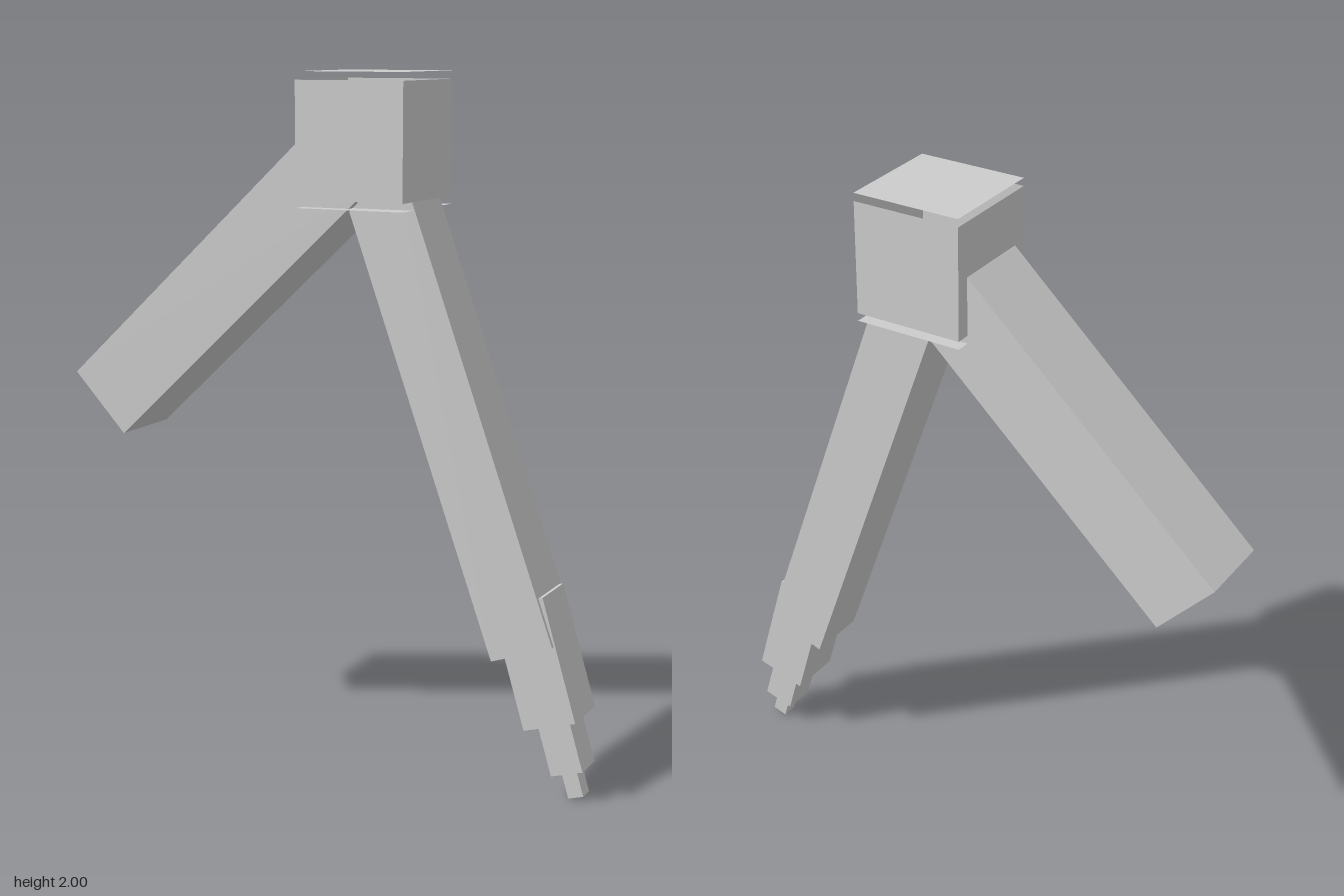
import * as THREE from 'three';

export function createModel() {
  const model = new THREE.Group();
  model.name = 'hingedArm';

  const grey = new THREE.MeshStandardMaterial({ color: 0xcccccc, side: THREE.DoubleSide });
  grey.name = 'plainGrey';

  const HUB = { x: 0.127, y: 1.815, size: 0.325, gap: 0.023 };

  // Square bar whose outer end sits at (x, y), leaning back by `lean` degrees from vertical
  function bar(name, x, y, lean, length, width, depth) {
    const geometry = new THREE.BoxGeometry(width, length, depth);
    geometry.translate(0, length / 2, 0);
    const mesh = new THREE.Mesh(geometry, grey);
    mesh.name = name;
    mesh.position.set(x, y, 0);
    mesh.rotation.z = THREE.MathUtils.degToRad(lean);
    model.add(mesh);
  }

  // Hub: four joined walls, open inside, with loose plates above and below
  const hub = new THREE.Group();
  hub.name = 'hub';
  hub.position.set(HUB.x, HUB.y, 0);
  const half = HUB.size / 2;
  for (let i = 0; i < 4; i++) {
    const geometry = new THREE.PlaneGeometry(HUB.size, HUB.size);
    geometry.translate(0, 0, half).rotateY((i * Math.PI) / 2);
    const wall = new THREE.Mesh(geometry, grey);
    wall.name = 'hubWall';
    hub.add(wall);
  }
  for (const side of [1, -1]) {
    const geometry = new THREE.PlaneGeometry(HUB.size, HUB.size);
    geometry.translate(0, 0, half + HUB.gap).rotateX((-side * Math.PI) / 2);
    const plate = new THREE.Mesh(geometry, grey);
    plate.name = side > 0 ? 'topPlate' : 'bottomPlate';
    hub.add(plate);
  }
  model.add(hub);

  // Thick arm and long leg, both ending at the hub centre
  bar('thickArm', -0.72, 1.021, -47, 1.159, 0.238, 0.24);
  bar('longLeg', 0.627, 0.422, 19.75, 1.479, 0.19, 0.186);

  // Stepped tip, each piece set into the one above
  bar('upperTip', 0.709, 0.222, 16.6, 0.36, 0.157, 0.163);
  bar('middleTip', 0.752, 0.081, 16.6, 0.2, 0.096, 0.1);
  bar('lowerTip', 0.771, 0.007, 16.6, 0.13, 0.046, 0.048);

  return model;
}
